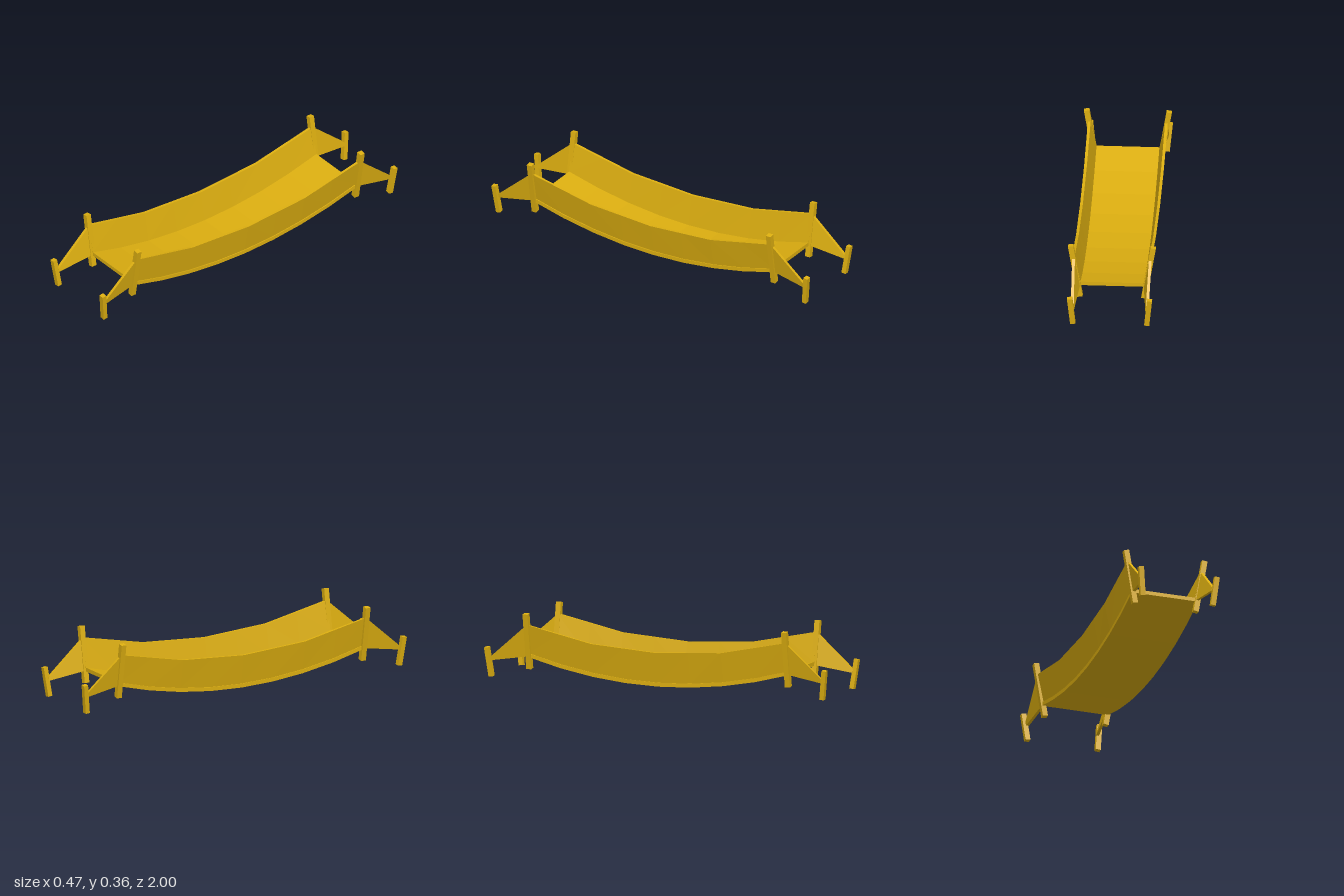
import * as THREE from 'three';

const wood = new THREE.MeshStandardMaterial({ color: 0xdcae10 });
wood.name = 'golden wood';

// Joins four-cornered cross-sections (counterclockwise seen from +z) into a
// flat-faced closed solid; sx and sz mirror it.
function loft(sections, sx = 1, sz = 1) {
  const pos = [];
  const flip = sx * sz < 0;
  const tri = (a, b, c) => {
    for (const p of flip ? [a, c, b] : [a, b, c]) pos.push(p[0] * sx, p[1], p[2] * sz);
  };
  const quad = (a, b, c, d) => { tri(a, b, c); tri(a, c, d); };
  for (let i = 0; i < sections.length - 1; i++) {
    const s = sections[i], t = sections[i + 1];
    for (let k = 0; k < 4; k++) {
      const n = (k + 1) % 4;
      quad(s[k], s[n], t[n], t[k]);
    }
  }
  const first = sections[0], last = sections[sections.length - 1];
  quad(first[0], first[3], first[2], first[1]);
  quad(last[0], last[1], last[2], last[3]);
  const g = new THREE.BufferGeometry();
  g.setAttribute('position', new THREE.Float32BufferAttribute(pos, 3));
  g.computeVertexNormals();
  return g;
}

// Square post running between two points
function postGeometry(bottom, top, width, depth) {
  const a = new THREE.Vector3(...bottom), b = new THREE.Vector3(...top);
  const dir = b.clone().sub(a);
  const g = new THREE.BoxGeometry(width, dir.length(), depth);
  g.applyQuaternion(new THREE.Quaternion().setFromUnitVectors(
    new THREE.Vector3(0, 1, 0), dir.clone().normalize()));
  const mid = a.add(b).multiplyScalar(0.5);
  return g.translate(mid.x, mid.y, mid.z);
}

export function createModel() {
  const model = new THREE.Group();
  model.name = 'hangingBridge';
  const add = (name, geometry) => {
    const mesh = new THREE.Mesh(geometry, wood);
    mesh.name = name;
    model.add(mesh);
  };

  const half = 0.757, steps = 8;
  const sag = z => 0.008 + 0.11 * (z / half) ** 2;
  const stations = Array.from({ length: steps + 1 }, (_, i) => -half + (2 * half * i) / steps);

  // Sagging deck
  add('deck', loft(stations.map(z => {
    const y = sag(z), w = 0.187;
    return [[-w, y, z], [w, y, z], [w, y + 0.021, z], [-w, y + 0.021, z]];
  })));

  // Top edge of the side walls has half as many bends as the deck
  const railY = z => {
    const t = Math.abs(z) / half;
    return t < 0.5 ? 0.194 + 0.048 * t : 0.218 + 0.158 * (t - 0.5);
  };

  for (const sx of [1, -1]) {
    const side = sx > 0 ? 'left' : 'right';

    // Side wall leaning outward
    add(side + 'Wall', loft(stations.map(z => {
      const b = sag(z) + 0.019, t = railY(z);
      return [[0.168, b, z], [0.182, b, z], [0.214, t, z], [0.199, t, z]];
    }), sx));

    for (const sz of [1, -1]) {
      const part = side + (sz > 0 ? 'Front' : 'Back');

      // Tall leaning post at the end of the deck
      add(part + 'Post', postGeometry(
        [0.171 * sx, 0.055, 0.756 * sz], [0.221 * sx, 0.358, 0.756 * sz], 0.029, 0.029));

      // Short anchor stake, tilted away from the bridge
      add(part + 'Stake', postGeometry(
        [0.198 * sx, 0.004, 0.967 * sz], [0.214 * sx, 0.163, 0.987 * sz], 0.028, 0.025));

      // Tapering brace between post and stake
      add(part + 'Brace', loft([
        [[0.17, 0.122, 0.756], [0.185, 0.122, 0.756], [0.213, 0.296, 0.756], [0.198, 0.296, 0.756]],
        [[0.19, 0.09, 0.972], [0.206, 0.09, 0.972], [0.209, 0.108, 0.972], [0.193, 0.108, 0.972]],
      ], sx, sz));
    }
  }
  return model;
}
